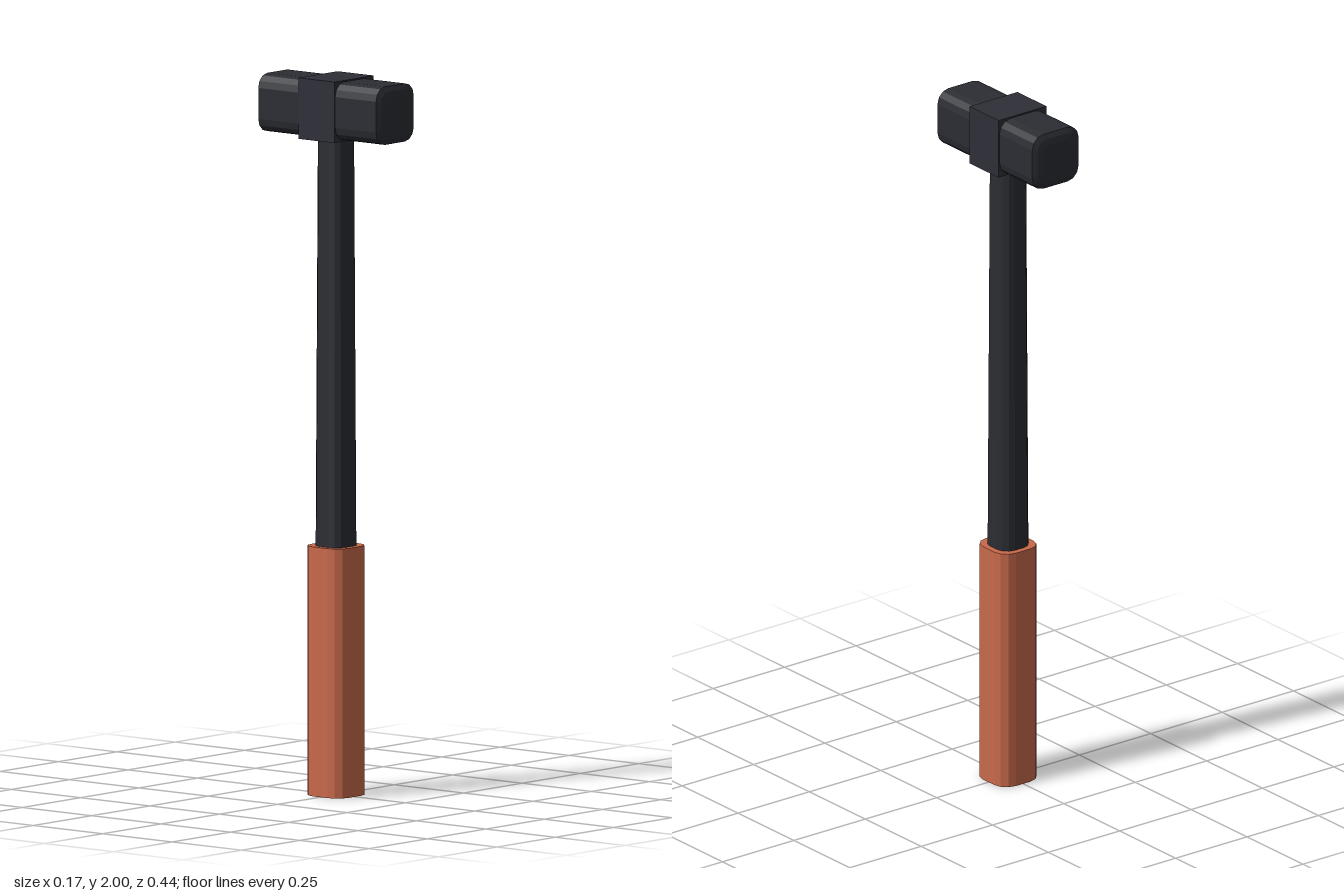
import * as THREE from 'three';

// Outline of a rounded square: core half-width k, corner radius r, three segments per corner
function roundedSquare(k, r) {
  const points = [];
  for (let corner = 0; corner < 4; corner++) {
    const mid = Math.PI / 4 + corner * Math.PI / 2;
    const cx = k * Math.SQRT2 * Math.cos(mid), cy = k * Math.SQRT2 * Math.sin(mid);
    for (let i = 0; i <= 3; i++) {
      const a = (corner + i / 3) * Math.PI / 2;
      points.push([cx + r * Math.cos(a), cy + r * Math.sin(a)]);
    }
  }
  return points;
}

// Capped solid along +z; each section is [z, scale]
function loft(outline, sections) {
  const n = outline.length, positions = [], index = [];
  for (const [z, s] of sections)
    for (const [x, y] of outline) positions.push(x * s, y * s, z);
  for (let j = 0; j < sections.length - 1; j++)
    for (let i = 0; i < n; i++) {
      const a = j * n + i, b = j * n + (i + 1) % n;
      index.push(a, b, b + n, a, b + n, a + n);
    }
  const end = (sections.length - 1) * n;
  for (let i = 1; i < n - 1; i++) {
    index.push(0, i + 1, i);
    index.push(end, end + i, end + i + 1);
  }
  const indexed = new THREE.BufferGeometry();
  indexed.setAttribute('position', new THREE.Float32BufferAttribute(positions, 3));
  indexed.setIndex(index);
  const geometry = indexed.toNonIndexed();
  geometry.computeVertexNormals();
  return geometry;
}

export function createModel() {
  const group = new THREE.Group();
  const steel = new THREE.MeshStandardMaterial({ color: 0x2b2d33 });
  steel.name = 'darkSteel';
  const collarSteel = new THREE.MeshStandardMaterial({ color: 0x2e2e38 });
  collarSteel.name = 'blueSteel';
  const rubber = new THREE.MeshStandardMaterial({ color: 0xc8694a });
  rubber.name = 'orangeRubber';

  const add = (name, geometry, material) => {
    const mesh = new THREE.Mesh(geometry, material);
    mesh.name = name;
    group.add(mesh);
    return mesh;
  };

  // Grip and tapered handle, lofted along z and stood upright
  const grip = loft(roundedSquare(0.026, 0.042), [[0, 1], [0.695, 1]]);
  add('grip', grip.rotateX(-Math.PI / 2), rubber);
  const shaft = loft(roundedSquare(0.015, 0.036), [[0.6, 1], [1.85, 0.88]]);
  add('handle', shaft.rotateX(-Math.PI / 2), steel);

  // Block that joins the head to the handle
  const collar = add('headCollar', new THREE.BoxGeometry(0.168, 0.17, 0.13), collarSteel);
  collar.position.y = 1.915;

  // Two striking ends with bevelled faces
  const striker = loft(roundedSquare(0.043, 0.038),
    [[0.05, 1], [0.212, 1], [0.219, 0.83], [0.222, 0.62]]);
  for (const side of [0, 1]) {
    const end = add(side ? 'backStriker' : 'frontStriker', striker, steel);
    end.position.y = 1.915;
    end.rotation.y = side * Math.PI;
  }
  return group;
}
